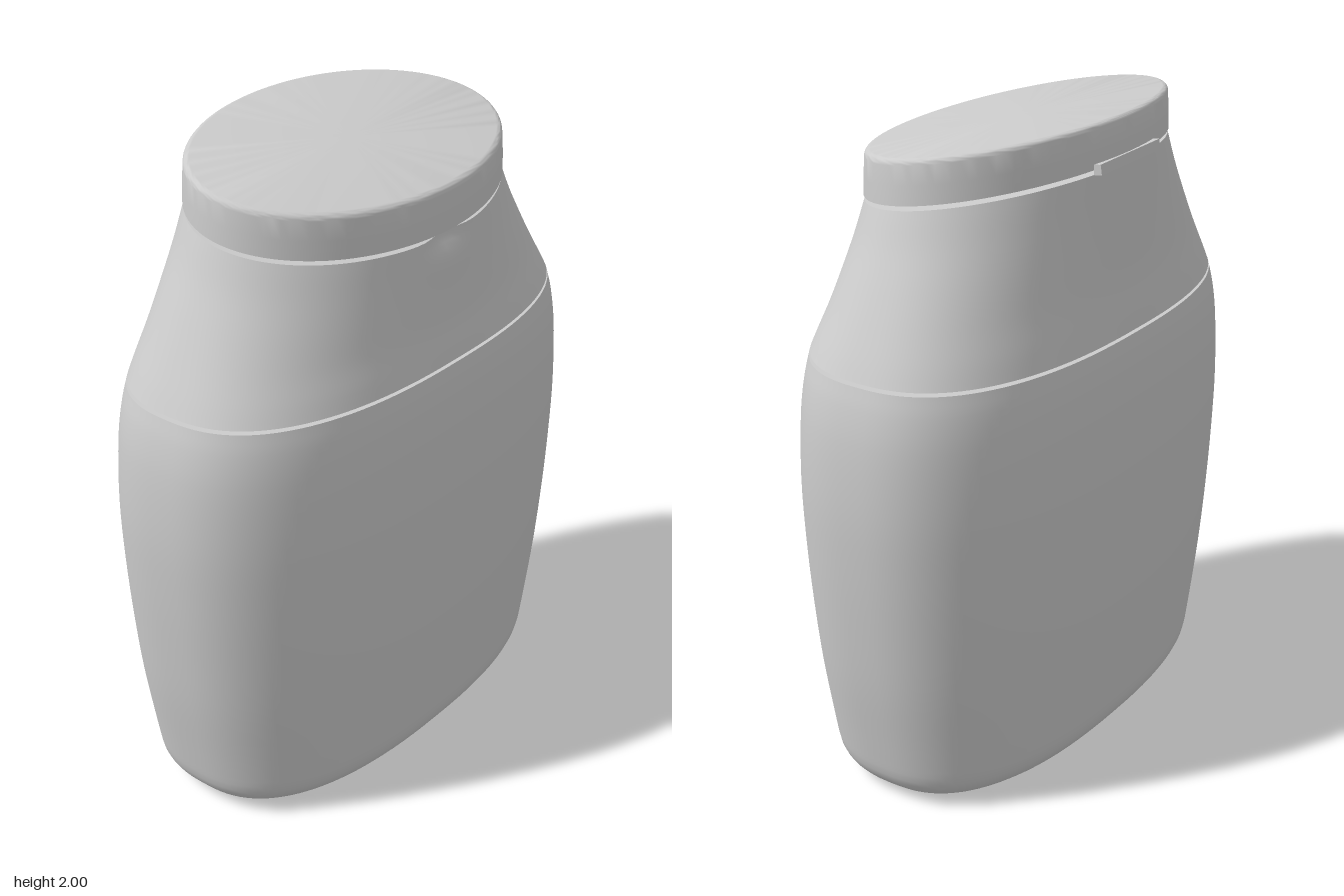
import * as THREE from 'three';
import { toCreasedNormals } from 'three/addons/utils/BufferGeometryUtils.js';

const TILT = 0.16; // the neck and lid slope down toward the front
const SEG = 112;

// Closed loft through superellipse rings [y, halfWidth, halfDepth, exponent, tilt]
function loft(rings, warp) {
  const first = rings[0], last = rings[rings.length - 1];
  const all = [[first[0], 0, 0, 2, 0], ...rings, [last[0], 0, 0, 2, 0]];
  const pos = [], idx = [];
  for (const [y, a, b, n, tilt] of all) {
    for (let j = 0; j < SEG; j++) {
      const t = (j / SEG) * Math.PI * 2, c = Math.cos(t), s = Math.sin(t);
      const x = a * Math.sign(c) * Math.abs(c) ** (2 / n);
      const z = b * Math.sign(s) * Math.abs(s) ** (2 / n);
      const p = new THREE.Vector3(x, y - tilt * z, z);
      if (warp) warp(p);
      pos.push(p.x, p.y, p.z);
    }
  }
  for (let i = 0; i < all.length - 1; i++) {
    for (let j = 0; j < SEG; j++) {
      const k = (j + 1) % SEG;
      const p = i * SEG + j, q = i * SEG + k, up = p + SEG, uq = q + SEG;
      if (i < all.length - 2) idx.push(p, up, uq);
      if (i > 0) idx.push(p, uq, q);
    }
  }
  const g = new THREE.BufferGeometry();
  g.setAttribute('position', new THREE.Float32BufferAttribute(pos, 3));
  g.setIndex(idx);
  return toCreasedNormals(g, 0.6);
}

// Smooth curve through [y, halfWidth, halfDepth] stations
function smoothStations(stations, count) {
  const curve = new THREE.CatmullRomCurve3(stations.map((s) => new THREE.Vector3(s[1], s[0], s[2])));
  return curve.getPoints(count).map((p) => [p.y, p.x, p.z]);
}

export function createModel() {
  const group = new THREE.Group();
  const material = new THREE.MeshStandardMaterial({ color: 0xcccccc });
  const add = (name, geometry) => {
    const mesh = new THREE.Mesh(geometry, material);
    mesh.name = name;
    group.add(mesh);
    return mesh;
  };

  // Body: rounded base edge, then a gentle bulge up to the seam
  const body = [];
  const r = 0.13;
  for (let i = 0; i < 9; i++) {
    const t = (i / 9) * 1.4;
    body.push([r * (1 - Math.cos(t)), 0.613 + r * Math.sin(t), 0.262 + r * Math.sin(t), 2.5, 0]);
  }
  const side = smoothStations([
    [0.115, 0.742, 0.391], [0.2, 0.757, 0.399], [0.4, 0.79, 0.415], [0.6, 0.812, 0.427],
    [0.8, 0.828, 0.434], [1.0, 0.835, 0.437], [1.2, 0.824, 0.431], [1.3, 0.806, 0.422], [1.36, 0.788, 0.412],
  ], 32);
  body.push(...side.map((s) => [...s, 2.5, 0]));
  add('body', loft(body));

  // Shoulder: blends from the body outline to the tilted oval neck
  const shoulder = smoothStations([
    [1.37, 0.783, 0.411], [1.42, 0.758, 0.402], [1.5, 0.716, 0.387],
    [1.6, 0.664, 0.376], [1.7, 0.614, 0.368], [1.8, 0.573, 0.362],
  ], 28).map(([y, a, b]) => {
    const t = (y - 1.37) / 0.43;
    return [y, a, b, 2.5 - 0.5 * t, TILT * t];
  });
  // Shallow thumb recess under the front of the lid
  const thumbRecess = (p) => {
    if (p.z > 0.2) p.z -= 0.025 * Math.exp(-((p.x / 0.075) ** 2) - ((p.y - 1.735) / 0.04) ** 2);
  };
  add('shoulder', loft(shoulder, thumbRecess));

  // Lid: slightly tapered oval with a softened top edge
  const lid = [[1.814, 0.575, 0.365, 2, TILT], [1.87, 0.573, 0.363, 2, TILT]];
  for (let i = 0; i <= 6; i++) {
    const t = (i / 6) * Math.PI / 2, f = 0.018;
    lid.push([1.925 + f * Math.sin(t), 0.551 + f * Math.cos(t), 0.342 + f * Math.cos(t), 2, TILT]);
  }
  add('lid', loft(lid));

  // Spout hidden in the gap between neck and lid
  add('spout', loft([[1.79, 0.065, 0.065, 2, TILT], [1.822, 0.065, 0.065, 2, TILT]]));

  // Hinge strip at the back
  const hinge = add('hinge', new THREE.BoxGeometry(0.315, 0.03, 0.025));
  hinge.position.set(0, 1.873, -0.362);
  hinge.rotation.x = Math.atan(TILT);

  return group;
}
